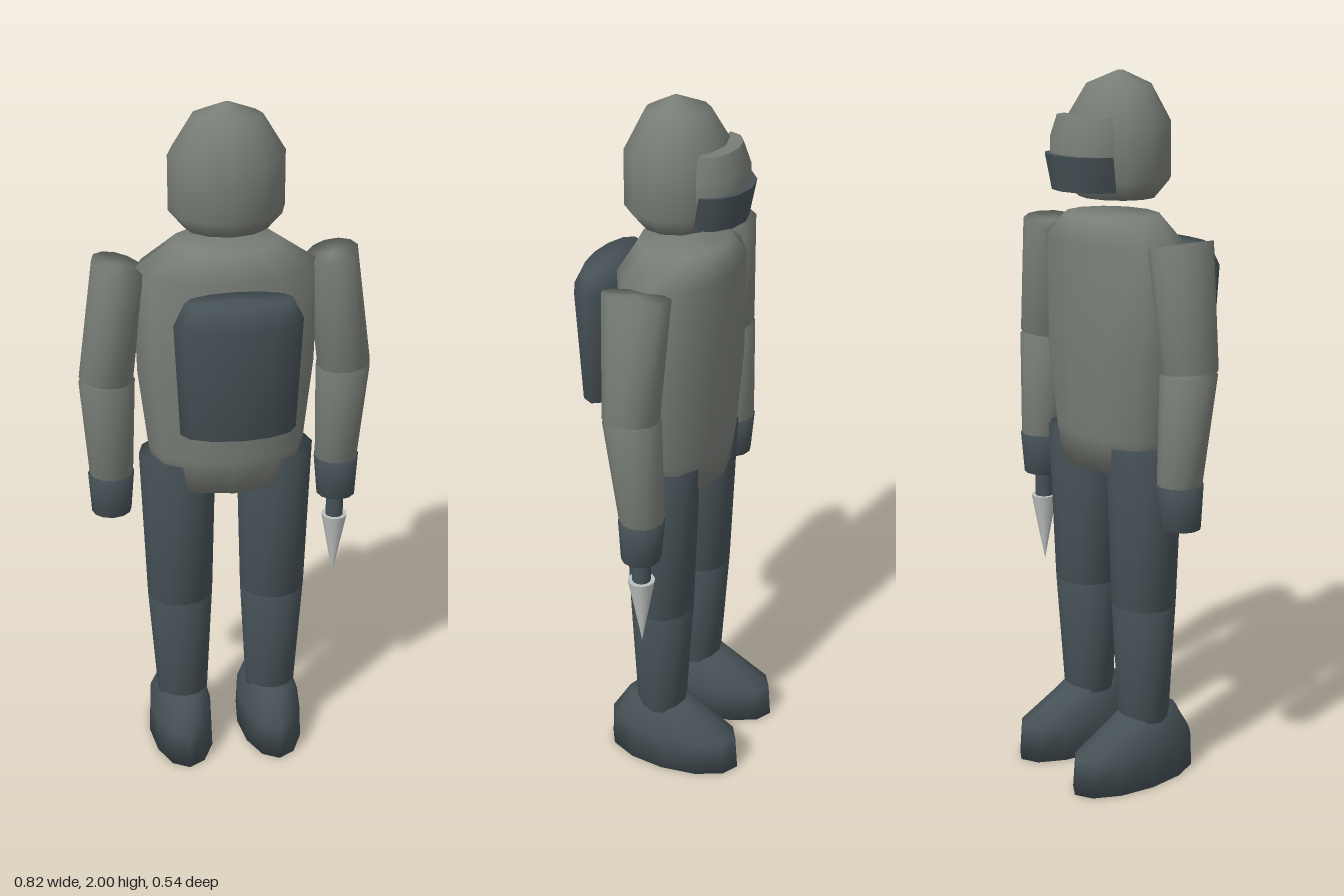
import * as THREE from 'three';
import { toCreasedNormals } from 'three/addons/utils/BufferGeometryUtils.js';

const SIDES = 12;

// Capped loft through elliptical rings [x, y, z, rx, rz, tilt], listed bottom to top.
// With half = true each ring is a D shape bulging towards -z.
function loft(rings, half = false) {
  const n = half ? 7 : SIDES;
  const pos = [], index = [];
  for (const [x, y, z, rx, rz, tilt = 0] of rings) {
    for (let i = 0; i < n; i++) {
      const a = half ? Math.PI * (1 + i / (n - 1)) : (i / n) * Math.PI * 2;
      const dx = Math.cos(a) * rx;
      pos.push(x + dx, y + dx * tilt, z + Math.sin(a) * rz);
    }
  }
  for (let j = 0; j < rings.length - 1; j++) {
    for (let i = 0; i < n; i++) {
      const a = j * n + i, b = j * n + (i + 1) % n;
      index.push(a, a + n, b, b, a + n, b + n);
    }
  }
  // End caps, fanned from a centre point
  const bottom = pos.length / 3, top = bottom + 1, last = (rings.length - 1) * n;
  for (const r of [rings[0], rings[rings.length - 1]]) {
    pos.push(r[0], r[1], half ? r[2] - r[4] * 0.4 : r[2]);
  }
  for (let i = 0; i < n; i++) {
    const k = (i + 1) % n;
    index.push(bottom, i, k, top, last + k, last + i);
  }
  const geo = new THREE.BufferGeometry();
  geo.setAttribute('position', new THREE.Float32BufferAttribute(pos, 3));
  geo.setIndex(index);
  geo.computeVertexNormals();
  return half ? toCreasedNormals(geo, 0.8) : geo;
}

export function createModel() {
  const model = new THREE.Group();
  model.name = 'armouredFigure';

  const material = (name, color) => {
    const m = new THREE.MeshStandardMaterial({ color });
    m.name = name;
    return m;
  };
  const grey = material('greyArmour', 0x787d76);
  const dark = material('darkSlate', 0x465156);
  const steel = material('paleSteel', 0xbcc1bf);

  const add = (name, geo, mat, parent = model) => {
    const mesh = new THREE.Mesh(geo, mat);
    mesh.name = name;
    parent.add(mesh);
    return mesh;
  };

  // Helmet, floating just above the collar
  add('helmet', loft([
    [0, 1.665, -0.016, 0.115, 0.1],
    [0, 1.715, -0.014, 0.157, 0.141],
    [0, 1.865, -0.014, 0.157, 0.141],
    [0, 1.965, -0.01, 0.095, 0.085],
    [0, 2.0, -0.005, 0.008, 0.008],
  ]), grey);

  // Brow plate and face visor
  add('browPlate', loft([
    [0, 1.765, -0.118, 0.128, 0.084],
    [0, 1.825, -0.116, 0.128, 0.086],
    [0, 1.885, -0.112, 0.11, 0.068],
  ], true), grey);
  add('visor', loft([
    [0, 1.69, -0.105, 0.118, 0.098],
    [0, 1.785, -0.125, 0.132, 0.094],
  ], true), dark);

  // Torso
  add('torso', loft([
    [0, 0.92, -0.018, 0.195, 0.133],
    [0, 1.02, -0.02, 0.222, 0.143],
    [0, 1.25, -0.025, 0.248, 0.154],
    [0, 1.55, -0.025, 0.255, 0.154],
    [0, 1.62, -0.033, 0.145, 0.122],
  ]), grey);

  // Backpack
  add('backpack', loft([
    [0, 1.15, 0.18, 0.158, 0.066],
    [0, 1.47, 0.185, 0.173, 0.083],
    [0, 1.53, 0.183, 0.143, 0.055],
  ]), dark);

  for (const s of [-1, 1]) {
    const side = s > 0 ? 'left' : 'right';

    // Arm
    const arm = new THREE.Group();
    arm.name = side + 'Arm';
    model.add(arm);
    add('upperArm', loft([
      [s * 0.335, 1.237, -0.025, 0.075, 0.077, s * 0.1],
      [s * 0.292, 1.567, -0.025, 0.071, 0.094, s * 0.25],
    ]), grey, arm);
    add('forearm', loft([
      [s * 0.327, 0.93, -0.05, 0.062, 0.062],
      [s * 0.333, 1.23, -0.027, 0.078, 0.078],
    ]), grey, arm);
    add('glove', loft([
      [s * 0.33, 0.81, -0.048, 0.057, 0.055],
      [s * 0.328, 0.932, -0.05, 0.066, 0.064],
    ]), dark, arm);

    // Leg
    const leg = new THREE.Group();
    leg.name = side + 'Leg';
    model.add(leg);
    add('thigh', loft([
      [s * 0.138, 0.53, -0.025, 0.096, 0.09],
      [s * 0.14, 0.995, -0.025, 0.11, 0.107],
    ]), dark, leg);
    add('shin', loft([
      [s * 0.135, 0.18, -0.022, 0.075, 0.072],
      [s * 0.138, 0.53, -0.025, 0.096, 0.09],
    ]), dark, leg);
    add('boot', loft([
      [s * 0.138, 0, -0.062, 0.097, 0.206],
      [s * 0.138, 0.105, -0.06, 0.093, 0.2],
      [s * 0.135, 0.197, -0.008, 0.068, 0.092],
    ]), dark, leg);
  }

  // Spike tool fitted to the left glove
  const tool = new THREE.Group();
  tool.name = 'spikeTool';
  tool.position.set(0.328, 0, -0.047);
  model.add(tool);
  add('toolShaft', new THREE.CylinderGeometry(0.026, 0.026, 0.09, SIDES), dark, tool).position.y = 0.775;
  const spike = add('spike', new THREE.ConeGeometry(0.038, 0.205, SIDES), steel, tool);
  spike.rotation.x = Math.PI;
  spike.position.y = 0.6325;

  return model;
}
